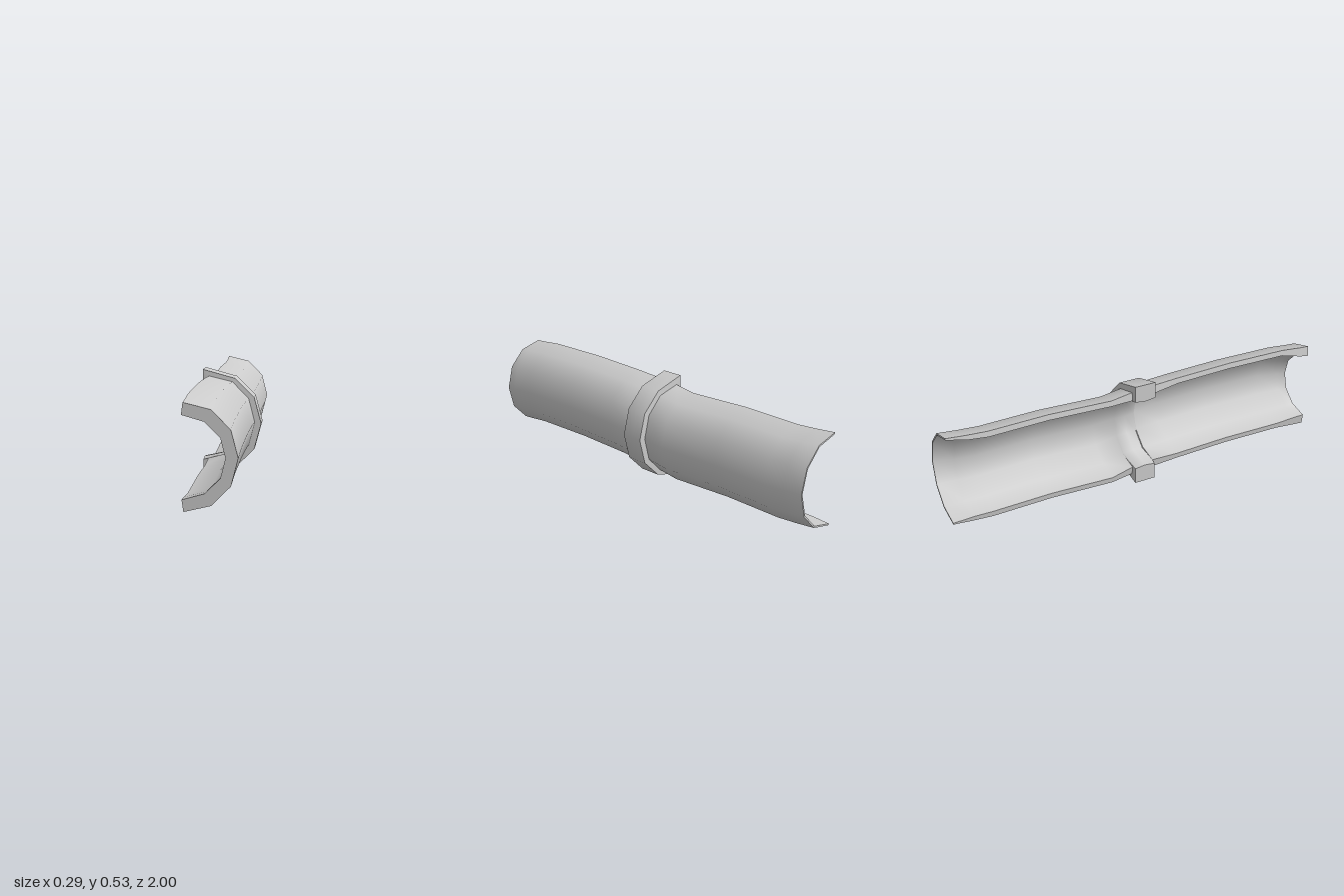
import * as THREE from 'three';
import { toCreasedNormals } from 'three/addons/utils/BufferGeometryUtils.js';

// Half arcs from rim to crown as [x, height from the centre line]
const INNER = [[-0.122, 0.175], [-0.028, 0.148], [0.037, 0.083], [0.058, 0]];
const OUTER = [[-0.115, 0.226], [0, 0.198], [0.08, 0.116], [0.11, 0]];
const COLLAR = [[-0.145, 0.266], [0.013, 0.223], [0.107, 0.13], [0.142, 0]];

// Blend between the arcs: 0 inner, 1 outer, 2 collar; mirrored to a full 7-point arc
function arc(t, yc, rimX) {
  const [a, b, k] = t <= 1 ? [INNER, OUTER, t] : [OUTER, COLLAR, t - 1];
  const half = a.map(([x, y], i) => [x + (b[i][0] - x) * k, y + (b[i][1] - y) * k]);
  if (rimX !== undefined) half[0][0] = rimX;
  const top = half.map(([x, y]) => [x, yc + y]);
  const bottom = half.slice(0, 3).reverse().map(([x, y]) => [x, yc - y]);
  return [...top, ...bottom];
}

// Stations along the channel: z, centre height, inner blend, outer blend, rim x
const STATIONS = [
  [-1, 0.275, 0.85, 1],
  [-0.9, 0.265, 0.55, 1],
  [-0.8, 0.258, 0.45, 1],
  [-0.5, 0.263, 0.45, 1],
  [-0.17, 0.25, 0.45, 1],
  [-0.057, 0.266, 0.2, 1],
  [-0.055, 0.267, 0.18, 2, -0.145],
  [0, 0.267, 0.05, 2, -0.145],
  [0.055, 0.267, 0.18, 2, -0.145],
  [0.057, 0.275, 0.2, 1],
  [0.2, 0.283, 0.45, 1],
  [0.5, 0.292, 0.45, 1],
  [0.83, 0.288, 0.45, 1],
  [0.95, 0.277, 0.08, 1],
  [1, 0.274, 0, 1],
];

function loft(stations) {
  const pos = [], idx = [], n = 14;
  // Closed ring: outer arc from top to bottom, then inner arc back up
  for (const [z, yc, tIn, tOut, rimX] of stations) {
    const ring = [...arc(tOut, yc, rimX), ...arc(tIn, yc, rimX).reverse()];
    for (const [x, y] of ring) pos.push(x, y, z);
  }
  for (let s = 0; s < stations.length - 1; s++) {
    for (let i = 0; i < n; i++) {
      const a = s * n + i, b = s * n + (i + 1) % n;
      idx.push(a, a + n, b, b, a + n, b + n);
    }
  }
  // End caps between the outer and inner arcs
  const last = (stations.length - 1) * n;
  for (let i = 0; i < 6; i++) {
    const o = i, p = i + 1, q = 13 - i, r = 12 - i;
    idx.push(o, p, q, p, r, q);
    idx.push(last + o, last + q, last + p, last + p, last + q, last + r);
  }
  const g = new THREE.BufferGeometry();
  g.setAttribute('position', new THREE.Float32BufferAttribute(pos, 3));
  g.setIndex(idx);
  return toCreasedNormals(g, Math.PI / 3);
}

export function createModel() {
  const group = new THREE.Group();
  group.name = 'halfPipe';
  const material = new THREE.MeshStandardMaterial({ color: 0xcccccc, side: THREE.DoubleSide });
  const channel = new THREE.Mesh(loft(STATIONS), material);
  channel.name = 'channelWithCollar';
  group.add(channel);
  return group;
}
